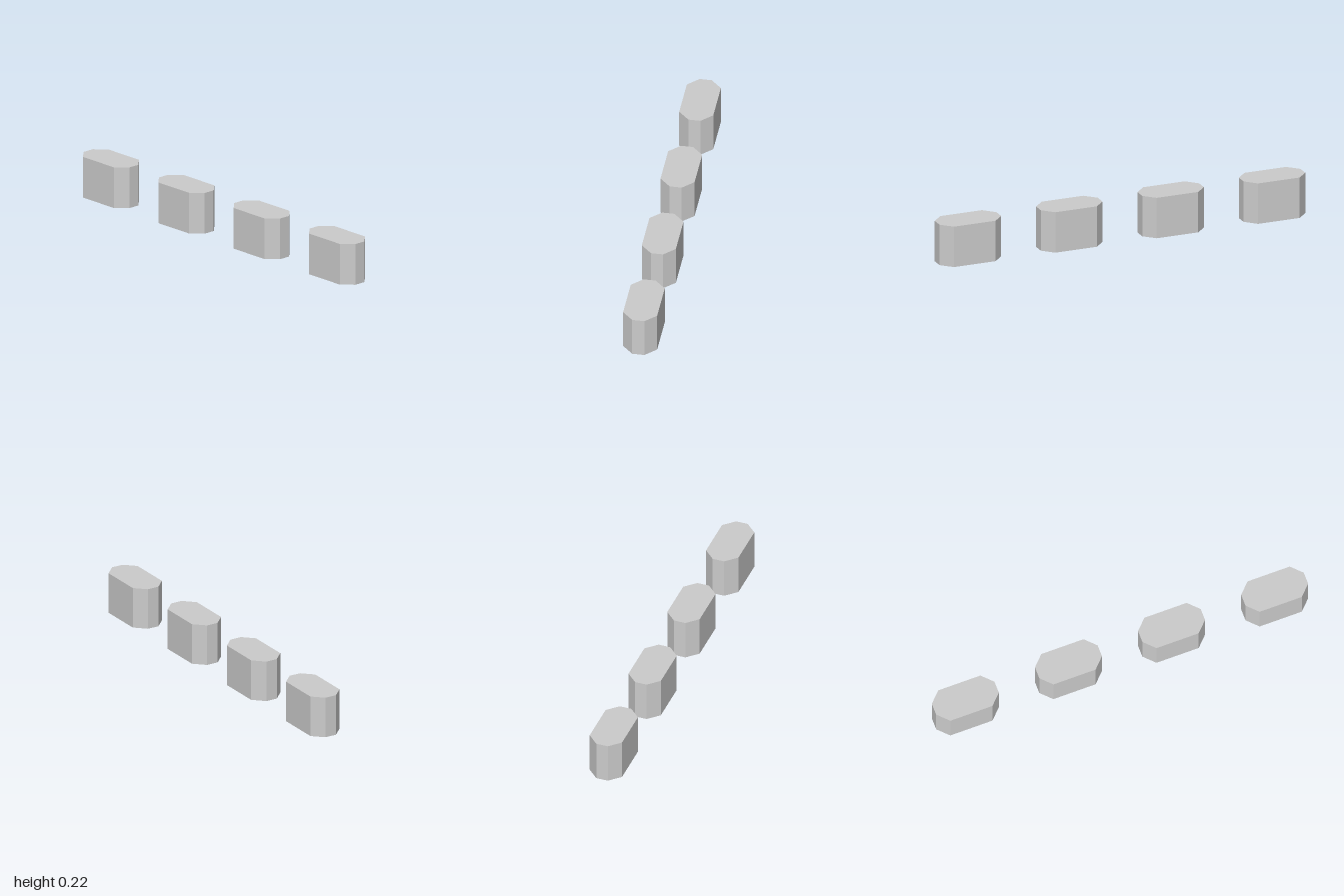
import * as THREE from 'three';

const HEIGHT = 0.216;
const HALF_LENGTH = 0.1685, HALF_WIDTH = 0.087; // plan size of one block
const FLAT_X = 0.1135, FLAT_Z = 0.031; // where the corner chamfers begin

export function createModel() {
  const model = new THREE.Group();
  model.name = 'blockRow';

  const grey = new THREE.MeshStandardMaterial({ color: 0xcccccc });
  grey.name = 'light grey';

  // Chamfered rectangle in plan, extruded upwards
  const plan = new THREE.Shape([
    [HALF_LENGTH, -FLAT_Z], [HALF_LENGTH, FLAT_Z],
    [FLAT_X, HALF_WIDTH], [-FLAT_X, HALF_WIDTH],
    [-HALF_LENGTH, FLAT_Z], [-HALF_LENGTH, -FLAT_Z],
    [-FLAT_X, -HALF_WIDTH], [FLAT_X, -HALF_WIDTH],
  ].map(([x, z]) => new THREE.Vector2(x, z)));
  const geometry = new THREE.ExtrudeGeometry(plan, { depth: HEIGHT, bevelEnabled: false });
  geometry.rotateX(-Math.PI / 2);

  // Four evenly spaced blocks
  const spacing = (2 - 2 * HALF_LENGTH) / 3;
  for (let i = 0; i < 4; i++) {
    const block = new THREE.Mesh(geometry, grey);
    block.name = `block${i + 1}`;
    block.position.x = (i - 1.5) * spacing;
    model.add(block);
  }
  return model;
}
